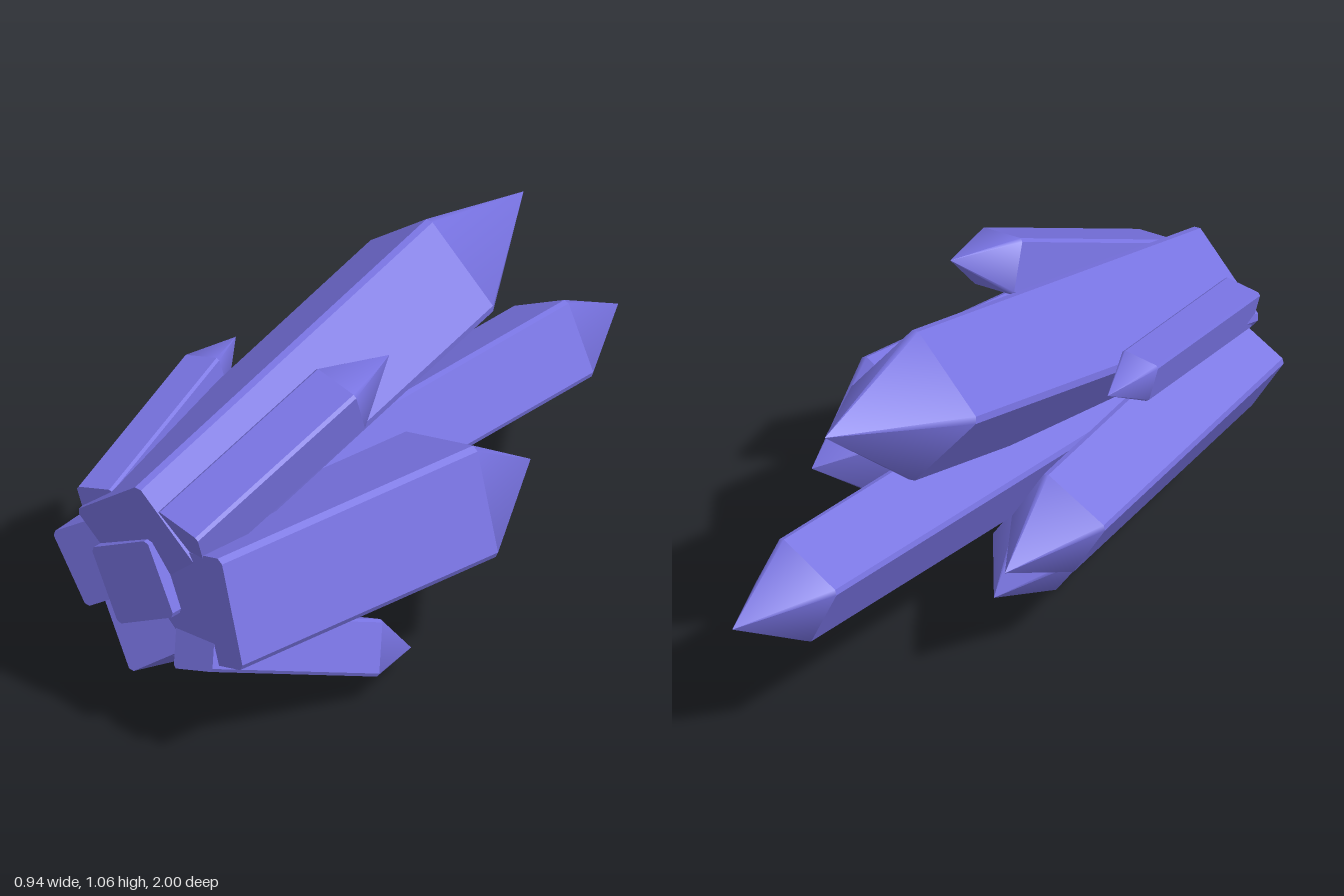
import * as THREE from 'three';
import { toCreasedNormals } from 'three/addons/utils/BufferGeometryUtils.js';

// name, base centre, shoulder centre, corner direction (x, y), half diagonal, tip length in z
const CRYSTALS = [
  ['centreCrystal', [-0.055, 0.472, 0.975], [-0.055, 0.472, -0.735], [0.048, 0.141], 0.15, 0.265],
  ['topCrystal', [-0.045, 0.587, 0.955], [-0.093, 0.86, -0.285], [0.03, 0.203], 0.21, 0.39],
  ['leftCrystal', [0.148, 0.462, 0.95], [0.275, 0.47, 0.054], [0.19, -0.105], 0.217, 0.28],
  ['rightCrystal', [-0.196, 0.477, 0.95], [-0.322, 0.421, 0.05], [-0.146, 0.034], 0.151, 0.27],
  ['bottomCrystal', [-0.027, 0.354, 0.945], [-0.073, 0.148, 0.26], [-0.019, -0.144], 0.153, 0.2],
  ['upperRightShard', [-0.198, 0.647, 0.95], [-0.334, 0.746, 0.36], [-0.059, 0.041], 0.074, 0.163],
  ['upperLeftShard', [0.106, 0.652, 0.955], [0.185, 0.886, 0.4], [-0.065, 0.082], 0.104, 0.17],
  ['lowerLeftShard', [0.151, 0.359, 0.955], [0.26, 0.142, 0.4], [-0.051, -0.09], 0.104, 0.165],
];

function geometryFrom(points) {
  const geometry = new THREE.BufferGeometry().setFromPoints(points);
  geometry.computeVertexNormals();
  return geometry;
}

// Square prism with narrow bevelled edges and a pyramid point
function makeCrystal([name, base, shoulder, corner, radius, tipLength], material) {
  const start = new THREE.Vector3(...base);
  const end = new THREE.Vector3(...shoulder);
  const axis = end.clone().sub(start).normalize();
  const apex = end.clone().addScaledVector(axis, tipLength / -axis.z);

  // Cross-section directions, square to the axis
  const slope = -(corner[0] * axis.x + corner[1] * axis.y) / axis.z;
  const u = new THREE.Vector3(corner[0], corner[1], slope).normalize();
  const v = axis.clone().cross(u);

  const bevel = 0.04 * radius + 0.002;
  const ring = (centre) => {
    const points = [];
    for (let k = 0; k < 4; k++) {
      for (const h of [-bevel, bevel]) {
        const a = Math.atan2(h, radius) + (k * Math.PI) / 2;
        const r = Math.hypot(h, radius);
        points.push(centre.clone()
          .addScaledVector(u, r * Math.cos(a))
          .addScaledVector(v, r * Math.sin(a)));
      }
    }
    return points;
  };
  const a = ring(start);
  const b = ring(end);

  const body = [];
  const point = [];
  for (let i = 0; i < 8; i++) {
    const j = (i + 1) % 8;
    body.push(a[i], a[j], b[j], a[i], b[j], b[i]);
    body.push(start, a[j], a[i]);
    point.push(b[i], b[j], apex);
  }

  const group = new THREE.Group();
  group.name = name;
  const bodyMesh = new THREE.Mesh(geometryFrom(body), material);
  bodyMesh.name = 'crystalBody';
  // The narrow bevels blend into the faces of the point
  const pointMesh = new THREE.Mesh(toCreasedNormals(geometryFrom(point), Math.PI / 4), material);
  pointMesh.name = 'crystalPoint';
  group.add(bodyMesh, pointMesh);
  return group;
}

export function createModel() {
  const crystal = new THREE.MeshStandardMaterial({ color: 0x7772e0 });
  crystal.name = 'violet crystal';
  const model = new THREE.Group();
  model.name = 'crystalCluster';
  for (const spec of CRYSTALS) model.add(makeCrystal(spec, crystal));
  return model;
}
